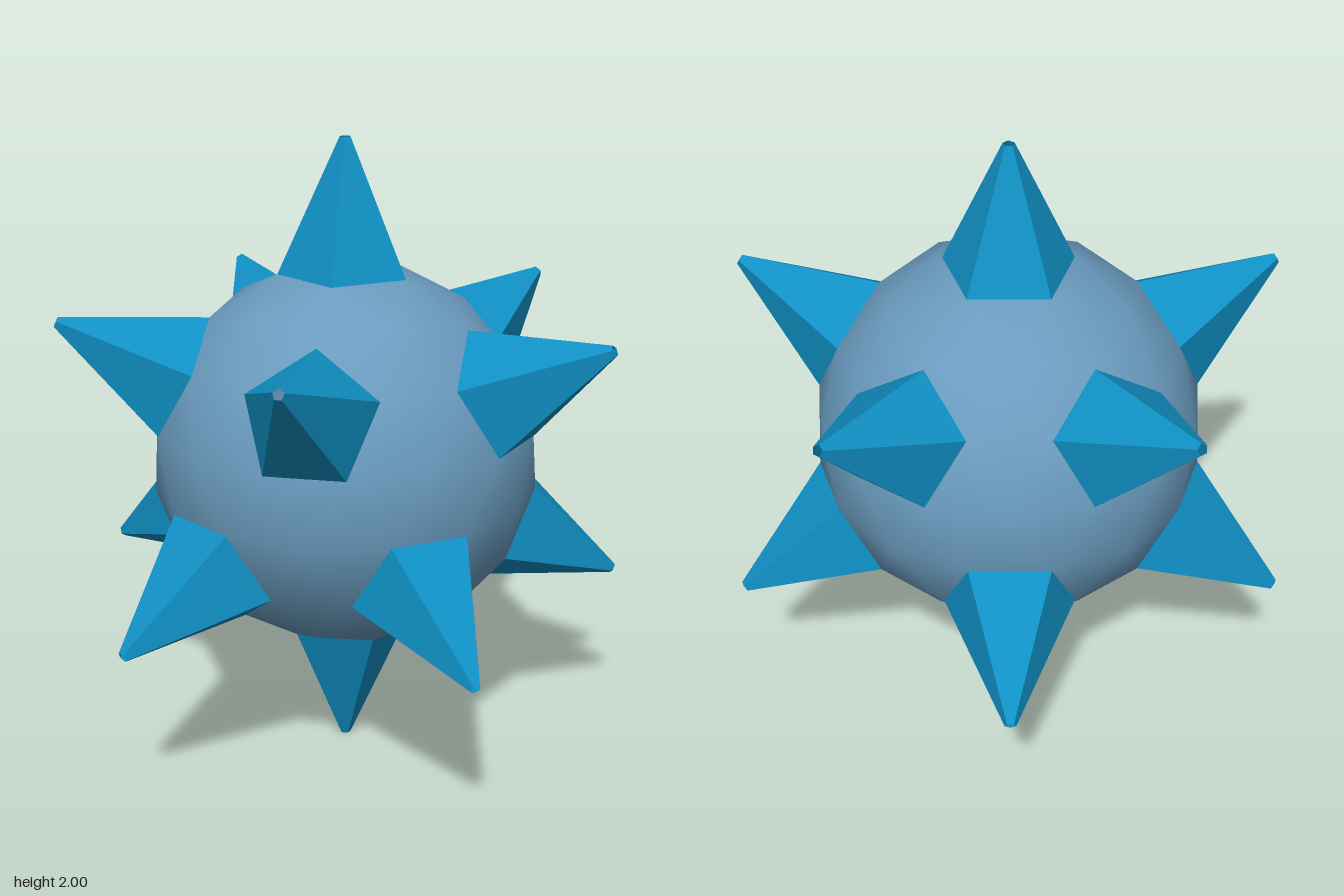
import * as THREE from 'three';

const R = 0.617;                 // ball radius
const TIP = 1, TIP_R = 0.018;    // spike tip distance and radius

// The twelve icosahedron directions: two poles and two staggered rings
function spikeDirections() {
  const dirs = [new THREE.Vector3(0, 1, 0)];
  const y = 1 / Math.sqrt(5), r = 2 / Math.sqrt(5);
  for (let i = 0; i < 5; i++) {
    const a = (i * 2 * Math.PI) / 5;
    dirs.push(new THREE.Vector3(r * Math.cos(a), y, r * Math.sin(a)));
  }
  return dirs.flatMap((d) => [d, d.clone().negate()]);
}

// Smooth icosphere, open where the spikes stand on it
function ballGeometry(dirs) {
  const src = new THREE.IcosahedronGeometry(R, 2);
  src.rotateZ(-Math.atan(2 / (1 + Math.sqrt(5))));
  const pos = src.attributes.position;
  const points = [], normals = [];
  for (let i = 0; i < pos.count; i += 3) {
    const tri = [0, 1, 2].map((k) => new THREE.Vector3().fromBufferAttribute(pos, i + k));
    if (tri.some((p) => dirs.some((d) => p.dot(d) > 0.999 * R))) continue;
    for (const p of tri) {
      points.push(p.x, p.y, p.z);
      normals.push(p.x / R, p.y / R, p.z / R);
    }
  }
  const geo = new THREE.BufferGeometry();
  geo.setAttribute('position', new THREE.Float32BufferAttribute(points, 3));
  geo.setAttribute('normal', new THREE.Float32BufferAttribute(normals, 3));
  return geo;
}

export function createModel() {
  const model = new THREE.Group();
  model.name = 'spikedBall';
  const dirs = spikeDirections();

  const ballMat = new THREE.MeshStandardMaterial({ color: 0x6a9bbe, side: THREE.DoubleSide });
  const spikeMat = new THREE.MeshStandardMaterial({ color: 0x1090c4, flatShading: true, side: THREE.DoubleSide });

  const ball = new THREE.Mesh(ballGeometry(dirs), ballMat);
  ball.name = 'ball';
  ball.position.y = 1;
  model.add(ball);

  // Five-sided hollow spike, its base matching the openings in the ball
  const edge = Math.atan((Math.sqrt(5) - 1) / 2);
  const angle = edge - Math.atan(Math.tan(edge) / 3);
  const base = R * Math.cos(angle), baseR = R * Math.sin(angle);
  const spikeGeo = new THREE.CylinderGeometry(TIP_R, baseR, TIP - base, 5, 1, true, Math.PI / 2);
  spikeGeo.translate(0, (TIP + base) / 2, 0);

  const spikes = new THREE.Group();
  spikes.name = 'spikes';
  spikes.position.y = 1;
  dirs.forEach((d, i) => {
    // Turn one base corner toward a neighbouring spike
    const s = Math.sign(d.y);
    const toward = Math.abs(d.y) > 0.9 ? new THREE.Vector3(s, 0, 0) : new THREE.Vector3(0, s, 0);
    const x = toward.addScaledVector(d, -toward.dot(d)).normalize();
    const z = new THREE.Vector3().crossVectors(x, d);
    const spike = new THREE.Mesh(spikeGeo, spikeMat);
    spike.name = 'spike' + (i + 1);
    spike.quaternion.setFromRotationMatrix(new THREE.Matrix4().makeBasis(x, d, z));
    spikes.add(spike);
  });
  model.add(spikes);
  return model;
}
